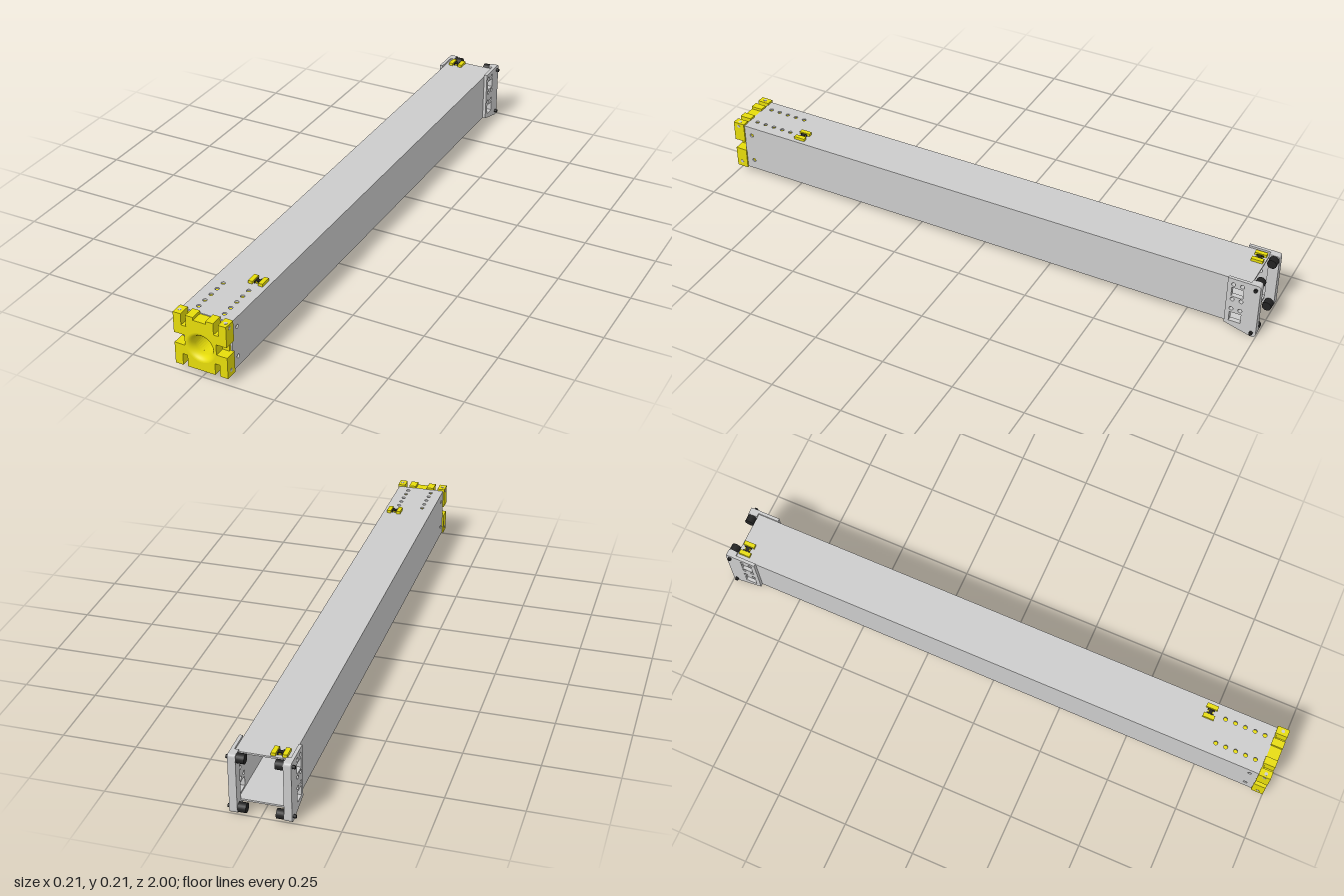
import * as THREE from 'three';

const grey = new THREE.MeshStandardMaterial({ color: 0xcccccc });
const yellow = new THREE.MeshStandardMaterial({ color: 0xe6dc0a });
const black = new THREE.MeshStandardMaterial({ color: 0x222222 });
const yellowOpen = new THREE.MeshStandardMaterial({ color: 0xe6dc0a, side: THREE.DoubleSide });

function add(parent, name, geometry, material, x = 0, y = 0, z = 0) {
  const mesh = new THREE.Mesh(geometry, material);
  mesh.name = name;
  mesh.position.set(x, y, z);
  parent.add(mesh);
  return mesh;
}

const polygon = (points) => new THREE.Shape(points.map(([a, b]) => new THREE.Vector2(a, b)));
const rect = (x0, y0, x1, y1) => polygon([[x0, y0], [x1, y0], [x1, y1], [x0, y1]]);
const circle = (x, y, r) => new THREE.Path().absarc(x, y, r, 0, Math.PI * 2, true);
const box = (w, h, d) => new THREE.BoxGeometry(w, h, d);

function extrude(shape, depth, holes = []) {
  shape.holes.push(...holes);
  return new THREE.ExtrudeGeometry(shape, { depth, bevelEnabled: false, curveSegments: 16 });
}
// Shape drawn in (-z, y), thickness along +x
const sidePanel = (...args) => extrude(...args).rotateY(Math.PI / 2);
// Shape drawn in (x, z), thickness along -y
const flatPanel = (...args) => extrude(...args).rotateX(Math.PI / 2);

// Windows and small holes shared by the tube walls and the end plates
function bracketHoles() {
  const holes = [rect(0.905, 0.14, 0.945, 0.175), rect(0.905, 0.04, 0.945, 0.075)];
  for (const z of [0.91, 0.94])
    for (const y of [0.188, 0.128, 0.09]) holes.push(circle(z, y, 0.007));
  return holes;
}

function makeTube() {
  const tube = new THREE.Group();
  tube.name = 'squareTube';
  const W = 0.087, T = 0.006, back = -0.965, front = 0.96;
  for (const s of [-1, 1]) {
    const holes = [...bracketHoles(), circle(-0.93, 0.17, 0.007), circle(-0.93, 0.063, 0.007)];
    add(tube, 'tubeSideWall', sidePanel(rect(-front, 0.028, -back, 0.203), T, holes), grey, s > 0 ? W - T : -W);
  }
  const topHoles = [], bottomHoles = [];
  for (const x of [-0.045, 0.045]) {
    for (let i = 0; i < 5; i++) topHoles.push(circle(x, 0.79 + i * 0.035, 0.007));
    bottomHoles.push(circle(x, 0.93, 0.007));
  }
  const inner = W - T;
  add(tube, 'tubeTopWall', flatPanel(rect(-inner, back, inner, front), T, topHoles), grey, 0, 0.203);
  add(tube, 'tubeBottomWall', flatPanel(rect(-inner, back, inner, front), T, bottomHoles), grey, 0, 0.028 + T);
  return tube;
}

function makeCap() {
  const cap = new THREE.Group();
  cap.name = 'frontCap';
  const cy = 0.107;
  // Right half of the notched outline, bottom to top, mirrored for the left half
  const half = [
    [0.048, 0.025], [0.048, 0.066], [0.065, 0.066], [0.065, 0.025], [0.092, 0.025],
    [0.092, 0.1], [0.055, 0.1], [0.055, 0.137], [0.092, 0.137], [0.092, 0.21],
    [0.065, 0.21], [0.065, 0.17], [0.048, 0.17], [0.048, 0.21], [0.022, 0.21], [0.022, 0.2],
  ];
  const outline = [...half, ...half.map(([x, y]) => [-x, y]).reverse()];
  add(cap, 'capFace', extrude(polygon(outline), 0.042, [circle(0, cy, 0.052)]), yellow, 0, 0, 0.958);

  // Flared mouth of the central hole
  const flare = [];
  for (let i = 0; i <= 8; i++) {
    const a = (i / 8) * Math.PI / 2;
    flare.push(new THREE.Vector2(0.052 - 0.017 * Math.sin(a), 0.042 - 0.025 * (1 - Math.cos(a))));
  }
  flare.push(new THREE.Vector2(0.035, 0));
  add(cap, 'capFlare', new THREE.LatheGeometry(flare, 40).rotateX(Math.PI / 2), yellowOpen, 0, cy, 0.958);

  // Plug that slides into the tube
  const plug = rect(-0.0795, 0.035, 0.0795, 0.187);
  add(cap, 'capPlug', extrude(plug, 0.195, [circle(0, cy, 0.035)]), yellow, 0, 0, 0.77);

  // Screw heads on the cap sides and top
  for (const s of [-1, 1]) {
    for (const y of [0.045, 0.197])
      add(cap, 'capScrew', new THREE.CylinderGeometry(0.006, 0.006, 0.002, 16).rotateZ(Math.PI / 2), grey, s * 0.092, y, 0.98);
    add(cap, 'capScrew', new THREE.CylinderGeometry(0.006, 0.006, 0.002, 16), grey, s * 0.08, 0.21, 0.98);
  }
  return cap;
}

// Cable clip: low base, raised end blocks and a dark strap
function makeClip(x, z) {
  const clip = new THREE.Group();
  clip.name = 'cableClip';
  clip.position.set(x, 0.203, z);
  add(clip, 'clipBase', box(0.05, 0.004, 0.02), yellow, 0, 0.002, 0);
  for (const s of [-1, 1]) {
    add(clip, 'clipBlock', box(0.015, 0.01, 0.04), yellow, s * 0.018, 0.005, 0);
    add(clip, 'clipStrap', box(0.004, 0.007, 0.024), black, s * 0.007, 0.0035, 0);
  }
  add(clip, 'clipScrew', new THREE.CylinderGeometry(0.007, 0.007, 0.007, 16), black, 0, 0.0035, 0);
  return clip;
}

function makeBracket(s) {
  const bracket = new THREE.Group();
  bracket.name = s > 0 ? 'leftEndPlate' : 'rightEndPlate';
  // Outer plate with sloping lower edge and rounded rear corners
  const plate = new THREE.Shape();
  plate.moveTo(0.89, 0.028);
  plate.lineTo(0.982, 0.002);
  plate.quadraticCurveTo(1, 0, 1, 0.015);
  plate.lineTo(1, 0.2);
  plate.quadraticCurveTo(1, 0.21, 0.99, 0.21);
  plate.lineTo(0.89, 0.21);
  add(bracket, 'plate', sidePanel(plate, 0.011, bracketHoles()), grey, s > 0 ? 0.087 : -0.098);
  // Thicker part behind and below the tube
  const lip = new THREE.Shape();
  lip.moveTo(0.89, 0.028);
  lip.lineTo(0.982, 0.002);
  lip.quadraticCurveTo(1, 0, 1, 0.015);
  lip.lineTo(1, 0.2);
  lip.quadraticCurveTo(1, 0.21, 0.99, 0.21);
  lip.lineTo(0.965, 0.21);
  lip.lineTo(0.965, 0.028);
  add(bracket, 'plateLip', sidePanel(lip, 0.014), grey, s > 0 ? 0.073 : -0.087);
  // Bumpers inside, bolt heads outside
  for (const y of [0.193, 0.018]) {
    const bumper = new THREE.CylinderGeometry(0.016, 0.016, 0.026, 24).rotateZ(Math.PI / 2);
    add(bracket, 'bumper', bumper, black, s * 0.06, y, -0.984);
    const bolt = new THREE.CylinderGeometry(0.006, 0.006, 0.01, 16).rotateZ(Math.PI / 2);
    add(bracket, 'boltHead', bolt, black, s * 0.102, y, -0.985);
  }
  return bracket;
}

export function createModel() {
  const model = new THREE.Group();
  model.name = 'beam';
  model.add(makeTube(), makeCap(), makeBracket(1), makeBracket(-1));
  model.add(makeClip(0.0475, 0.735), makeClip(-0.0485, -0.94));
  return model;
}
